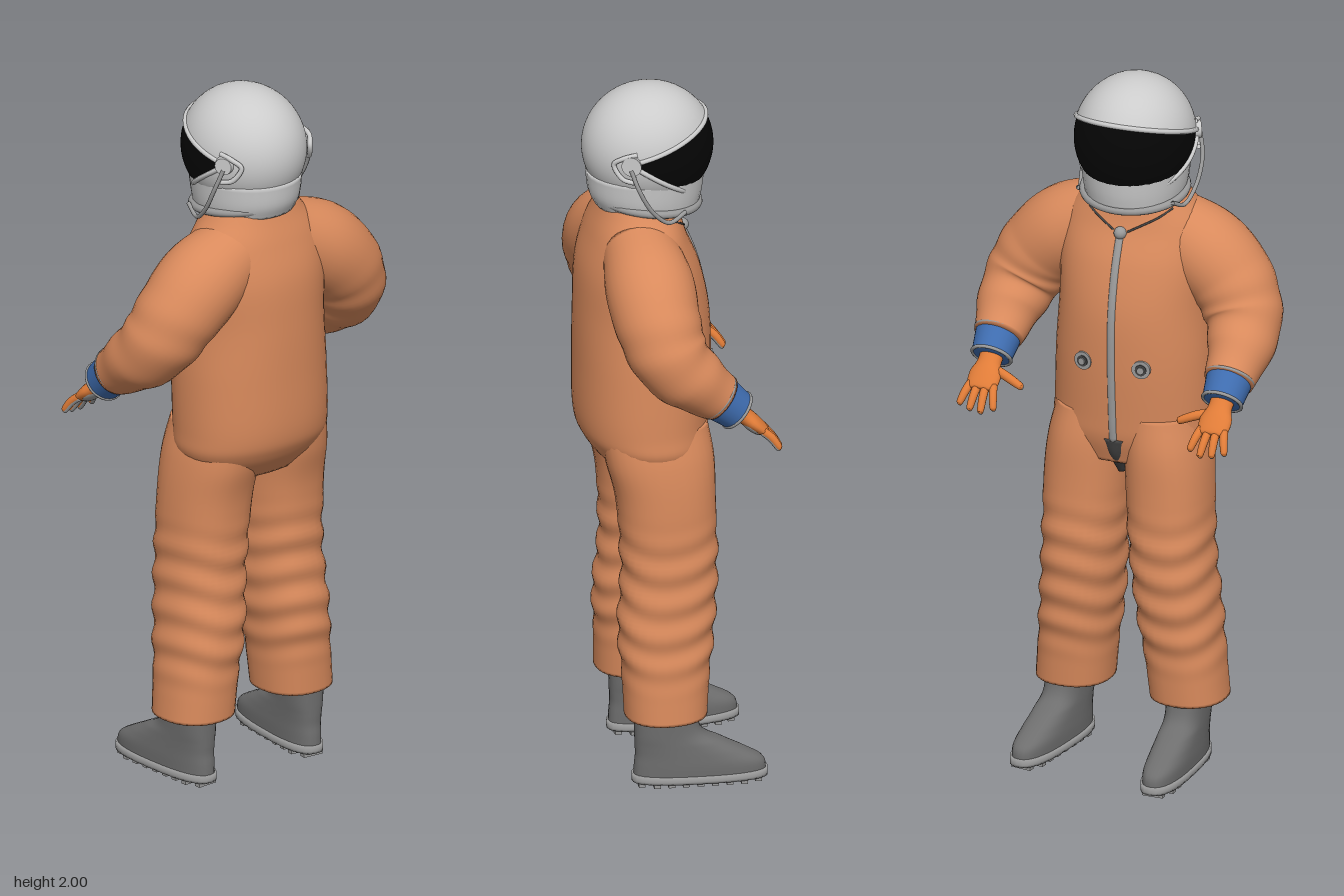
import * as THREE from 'three';

const V = (x, y, z) => new THREE.Vector3(x, y, z);
const mat = (color) => new THREE.MeshStandardMaterial({ color, side: THREE.DoubleSide });
const SUIT = mat(0xd98a5c), GLOVE = mat(0xe07c38), BLUE = mat(0x3f6db0), BOOT = mat(0x6e6e6e);
const WHITE = mat(0xcccccc), METAL = mat(0x9a9a9a), BLACK = mat(0x050505), DARK = mat(0x444444);

function add(parent, name, geometry, material) {
  const mesh = new THREE.Mesh(geometry, material);
  mesh.name = name;
  parent.add(mesh);
  return mesh;
}

// Skin over elliptical cross-sections [x, y, z, radiusA, radiusB]
function sweep(rows, { ref = V(0, 0, 1), axis = null, n = 32, sides = 32, pow = 1, ripple = null } = {}) {
  const path = new THREE.CatmullRomCurve3(rows.map((r) => V(r[0], r[1], r[2])), false, 'catmullrom');
  const size = new THREE.CatmullRomCurve3(rows.map((r) => V(r[3], r[4], 0)), false, 'catmullrom');
  const round = (v) => Math.sign(v) * Math.abs(v) ** pow;
  const pos = [], idx = [];
  for (let i = 0; i <= n; i++) {
    const p = path.getPoint(i / n), r = size.getPoint(i / n);
    const t = axis || path.getTangent(i / n);
    const a = t.clone().cross(ref).normalize(), b = a.clone().cross(t).normalize();
    for (let j = 0; j < sides; j++) {
      const w = (j / sides) * Math.PI * 2, k = ripple ? ripple(p, w) : 1;
      const q = p.clone().addScaledVector(a, r.x * k * round(Math.cos(w))).addScaledVector(b, r.y * k * round(Math.sin(w)));
      pos.push(q.x, q.y, q.z);
    }
  }
  const first = pos.length / 3, last = first + 1;
  pos.push(...path.getPoint(0).toArray(), ...path.getPoint(1).toArray());
  for (let j = 0; j < sides; j++) {
    const j2 = (j + 1) % sides;
    for (let i = 0; i < n; i++) {
      const A = i * sides + j, B = i * sides + j2, C = A + sides, D = B + sides;
      idx.push(A, C, B, B, C, D);
    }
    idx.push(first, j, j2, last, n * sides + j2, n * sides + j);
  }
  const g = new THREE.BufferGeometry();
  g.setAttribute('position', new THREE.Float32BufferAttribute(pos, 3));
  g.setIndex(idx);
  g.computeVertexNormals();
  return g;
}

const tube = (points, radius, n = 40) =>
  new THREE.TubeGeometry(new THREE.CatmullRomCurve3(points), n, radius, 8);

// Point on the helmet where a plane hinged behind the ears at elevation e (degrees) meets its shell
function helmetPoint(e, s, k = 1) {
  const w = THREE.MathUtils.degToRad(e), hy = 0.03, hz = 0.5;
  const dy = Math.sin(w), dz = -Math.cos(w);
  const u0 = -(hy * dy + hz * dz);
  const rho = Math.sqrt(1 - (hy + u0 * dy) ** 2 - (hz + u0 * dz) ** 2);
  const start = Math.asin(THREE.MathUtils.clamp(-u0 / rho, -1, 1));
  const th = start + s * (Math.PI - 2 * start), u = u0 + rho * Math.sin(th);
  return V(-0.012 + 0.166 * k * rho * Math.cos(th), 1.825 + 0.175 * k * (hy + u * dy), 0.067 + 0.183 * k * (hz + u * dz));
}

function helmetShell(e0, e1, k, rows) {
  const g = new THREE.PlaneGeometry(1, 1, 40, rows), p = g.attributes.position, uv = g.attributes.uv;
  for (let i = 0; i < p.count; i++) {
    const q = helmetPoint(e0 + (e1 - e0) * uv.getY(i), 1 - uv.getX(i), k);
    p.setXYZ(i, q.x, q.y, q.z);
  }
  // Flip so that the outside is the front
  const ix = g.index.array;
  for (let i = 0; i < ix.length; i += 3) [ix[i], ix[i + 1]] = [ix[i + 1], ix[i]];
  g.computeVertexNormals();
  const a = V().fromBufferAttribute(p, 20), n = V().fromBufferAttribute(g.attributes.normal, 20);
  if (n.dot(a.sub(V(-0.012, 1.825, 0.067))) < 0) {
    for (let i = 0; i < ix.length; i += 3) [ix[i], ix[i + 1]] = [ix[i + 1], ix[i]];
    g.computeVertexNormals();
  }
  return g;
}

function makeHelmet() {
  const helmet = new THREE.Group();
  helmet.name = 'helmet';
  add(helmet, 'helmetShell', helmetShell(19, 325, 1, 60), WHITE);
  add(helmet, 'visor', helmetShell(-35, 19, 0.985, 20), BLACK);
  for (const e of [19, -35]) {
    const pts = Array.from({ length: 25 }, (_, i) => helmetPoint(e, i / 24, 1.0));
    add(helmet, 'visorRim', tube(pts, 0.007, 60), WHITE);
  }
  const up = V(0, 1, -0.12).normalize();
  add(helmet, 'helmetBase', sweep([[-0.012, 1.66, 0.07, 0.135, 0.145], [-0.012, 1.7, 0.075, 0.143, 0.158],
    [-0.012, 1.76, 0.075, 0.15, 0.165]], { axis: V(0, 1, 0), n: 10 }), WHITE);
  const ring = add(helmet, 'neckRing', new THREE.TorusGeometry(0.142, 0.011, 10, 48), METAL);
  ring.position.set(-0.012, 1.67, 0.07);
  ring.quaternion.setFromUnitVectors(V(0, 0, 1), up);
  // Pivots, latches and hoses at the ears
  for (const s of [-1, 1]) {
    const x = (d) => -0.012 + s * d;
    const pivot = add(helmet, 'visorPivot', new THREE.CylinderGeometry(0.024, 0.028, 0.02, 20), WHITE);
    pivot.position.set(x(0.148), 1.83, 0.155);
    pivot.rotation.set(0, -s * 0.5, Math.PI / 2);
    add(helmet, 'latch', tube([V(x(0.148), 1.86, 0.14), V(x(0.14), 1.85, 0.18), V(x(0.125), 1.83, 0.2),
      V(x(0.14), 1.79, 0.18), V(x(0.155), 1.78, 0.15)], 0.007), WHITE);
    add(helmet, 'hose', tube([V(x(0.155), 1.82, 0.16), V(x(0.17), 1.76, 0.14), V(x(0.168), 1.69, 0.1),
      V(x(0.155), 1.65, 0.05), V(x(0.14), 1.67, 0.0)], 0.006), METAL);
  }
  return helmet;
}

function makeArm(s) {
  const arm = new THREE.Group(), shift = s < 0 ? -0.045 : 0;
  arm.name = s > 0 ? 'leftSideArm' : 'rightSideArm';
  const rows = [[0.08, 1.56, 0.12, 0.1], [0.2, 1.495, 0.125, 0.122], [0.285, 1.415, 0.125, 0.117], [0.332, 1.33, 0.1, 0.106],
    [0.348, 1.265, 0.04, 0.09], [0.35, 1.205, -0.035, 0.067]];
  add(arm, 'sleeve', sweep(rows.map(([x, y, z, r], i) => [s * x, y, z + (shift * i) / 5, r, r]), {
    ref: V(s * 0.4, 0.69, -0.52), n: 48,
    ripple: (p, w) => 1 + 0.022 * Math.sin(p.y * 90 + Math.sin(w) * 1.5) * THREE.MathUtils.smoothstep(1.46 - p.y, 0, 0.12),
  }), SUIT);
  // Cuff, glove and fingers point along -z of the forearm
  const fore = new THREE.Group();
  fore.name = 'cuffAndGlove';
  fore.position.set(s * 0.35, 1.215, -0.02 + shift);
  fore.rotation.x = -0.72;
  arm.add(fore);
  const opt = { ref: V(0, 1, 0), n: 12, sides: 24 };
  add(fore, 'cuff', sweep([[0, 0, 0, 0.066, 0.066], [0, 0, -0.08, 0.056, 0.056]], opt), BLUE);
  for (const [z, r] of [[-0.006, 0.066], [-0.078, 0.055]])
    add(fore, 'cuffRing', new THREE.TorusGeometry(r, 0.005, 8, 32), METAL).position.z = z;
  add(fore, 'palm', sweep([[0, 0, -0.06, 0.034, 0.03], [0, 0, -0.1, 0.034, 0.024], [0, 0, -0.135, 0.046, 0.022],
    [0, 0, -0.175, 0.043, 0.016], [0, 0, -0.183, 0.034, 0.009]], opt), GLOVE);
  const pad = add(fore, 'palmPad', new THREE.SphereGeometry(1, 20, 12), METAL);
  pad.position.set(0, -0.01, -0.14);
  pad.scale.set(0.038, 0.016, 0.042);
  const digit = (a, b, r) => {
    const m = a.clone().lerp(b, 0.5).add(V(0, 0.004, 0));
    const line = (d, k) => [[a.x, a.y + d, a.z, r * k, r * k], [m.x, m.y + d, m.z, r * k, r * k],
      [b.x, b.y + d, b.z, r * 0.8 * k, r * 0.8 * k], ...[b.clone().addScaledVector(b.clone().sub(a).normalize(), r * 0.6)]
        .map((e) => [e.x, e.y + d, e.z, r * 0.25, r * 0.25])];
    add(fore, 'finger', sweep(line(0, 1), { ...opt, sides: 12 }), GLOVE);
    add(fore, 'fingerPad', sweep(line(-0.004, 0.8), { ...opt, sides: 12 }), METAL);
  };
  [0.058, 0.07, 0.074, 0.06].forEach((len, i) => {
    const x = s * (0.033 - 0.022 * i);
    digit(V(x, 0, -0.165), V(x * 1.5, -0.008, -0.168 - len), 0.0115);
  });
  digit(V(-s * 0.025, -0.004, -0.115), V(-s * 0.105, -0.008, -0.15), 0.013);
  return arm;
}

function makeLeg(s) {
  const leg = new THREE.Group(), dz = s < 0 ? -0.015 : 0, out = s < 0 ? 0.015 : 0;
  leg.name = s > 0 ? 'leftSideLeg' : 'rightSideLeg';
  const rows = [[0.165, 0.2, 0.068, 0.107, 0.113], [0.155, 0.32, 0.065, 0.108, 0.12], [0.142, 0.45, 0.06, 0.112, 0.132],
    [0.13, 0.62, 0.048, 0.113, 0.132], [0.122, 0.82, 0.055, 0.117, 0.137], [0.115, 0.94, 0.07, 0.113, 0.15],
    [0.105, 1.04, 0.085, 0.1, 0.15]];
  // Baggy folds gather around the knee and shin
  const folds = (p, w) => 1 + 0.035 * Math.sin(p.y * 68 + s + 1.2 * Math.sin(w * 2 + s))
    * THREE.MathUtils.smoothstep(p.y, 0.26, 0.4) * (1 - THREE.MathUtils.smoothstep(p.y, 0.66, 0.8));
  add(leg, 'trouserLeg', sweep(rows.map(([x, y, z, a, b]) => [s * (x + out * (1.04 - y)) - 0.004, y, z + dz, a, b]),
    { axis: V(0, 1, 0), n: 90, pow: 0.9, ripple: folds }), SUIT);
  // Boot with its shaft at the origin and toes towards -z
  const boot = new THREE.Group();
  boot.name = 'boot';
  boot.position.set(s > 0 ? 0.18 : -0.185, 0, s > 0 ? 0.08 : 0.045);
  boot.rotation.y = s > 0 ? -0.15 : 0;
  leg.add(boot);
  add(boot, 'bootUpper', sweep([[0, 0.02, -0.1, 0.054, 0.183], [0, 0.06, -0.097, 0.055, 0.178], [0, 0.09, -0.075, 0.054, 0.153],
    [0, 0.12, -0.045, 0.053, 0.124], [0, 0.16, -0.012, 0.053, 0.092], [0, 0.26, 0, 0.056, 0.082]],
  { axis: V(0, 1, 0), pow: 0.8 }), BOOT);
  const sole = (k, y, h, name) => add(boot, name, sweep([[0, y, -0.1, 0.057 * k, 0.187 * k], [0, y + h, -0.1, 0.057 * k, 0.187 * k]],
    { axis: V(0, 1, 0), n: 2, pow: 0.75 }), METAL);
  sole(1, 0.012, 0.022, 'sole');
  for (let i = 0; i < 9; i++) {
    const half = i === 0 || i === 8 ? 0.06 : 0.09;
    add(boot, 'tread', new THREE.BoxGeometry(half, 0.014, 0.018), METAL).position.set(0, 0.007, 0.062 - i * 0.04);
  }
  return leg;
}

export function createModel() {
  const model = new THREE.Group();
  model.name = 'astronaut';
  const torso = add(model, 'torso', sweep([[-0.005, 0.9, 0.065, 0.17, 0.125], [-0.005, 0.97, 0.082, 0.222, 0.163],
    [-0.008, 1.04, 0.09, 0.226, 0.178], [-0.01, 1.2, 0.087, 0.222, 0.184], [-0.01, 1.35, 0.088, 0.212, 0.182],
    [-0.01, 1.48, 0.098, 0.215, 0.165], [-0.01, 1.58, 0.105, 0.2, 0.132], [-0.012, 1.65, 0.1, 0.15, 0.112],
    [-0.012, 1.7, 0.09, 0.12, 0.105]], { axis: V(0, 1, 0), n: 60, sides: 48, pow: 0.92 }), SUIT);
  for (const s of [-1, 1]) model.add(makeArm(s), makeLeg(s));
  model.add(makeHelmet());

  // Chest details lie on the suit, which faces -z
  torso.updateMatrixWorld();
  const ray = new THREE.Raycaster();
  const onChest = (x, y) => {
    ray.set(V(x, y, -2), V(0, 0, 1));
    const hit = ray.intersectObject(torso)[0];
    return V(x, y, hit ? hit.point.z : -0.05);
  };
  const zip = Array.from({ length: 14 }, (_, i) => onChest(-0.01, 1.57 - i * 0.046));
  add(model, 'zipper', sweep(zip.map((p) => [p.x, p.y, p.z, 0.011, 0.006]), { n: 60, sides: 12 }), METAL);
  add(model, 'zipperPull', new THREE.SphereGeometry(0.018, 16, 12), METAL).position.copy(zip[0]);
  for (const s of [-1, 1]) {
    const seam = [0.02, 0.06, 0.1, 0.13].map((d, i) => onChest(-0.01 + s * d, 1.575 + i * 0.022));
    add(model, 'yokeSeam', tube(seam, 0.003), DARK);
    const p = onChest(-0.01 + s * 0.085, 1.2);
    [[0.026, 0.012, METAL], [0.016, 0.018, DARK], [0.01, 0.026, METAL]].forEach(([r, h, m]) => {
      const disc = add(model, 'hosePort', new THREE.CylinderGeometry(r, r, h, 24), m);
      disc.position.copy(p);
      disc.rotation.set(Math.PI / 2, 0, s * 0.15);
    });
  }
  // Dark gusset below the zipper
  add(model, 'gusset', sweep([[-0.01, 0.86, -0.01, 0.012, 0.02], [-0.01, 0.92, -0.045, 0.026, 0.025],
    [-0.01, 0.975, -0.072, 0.036, 0.015]], { axis: V(0, 1, 0), n: 12, sides: 20 }), DARK);
  return model;
}
